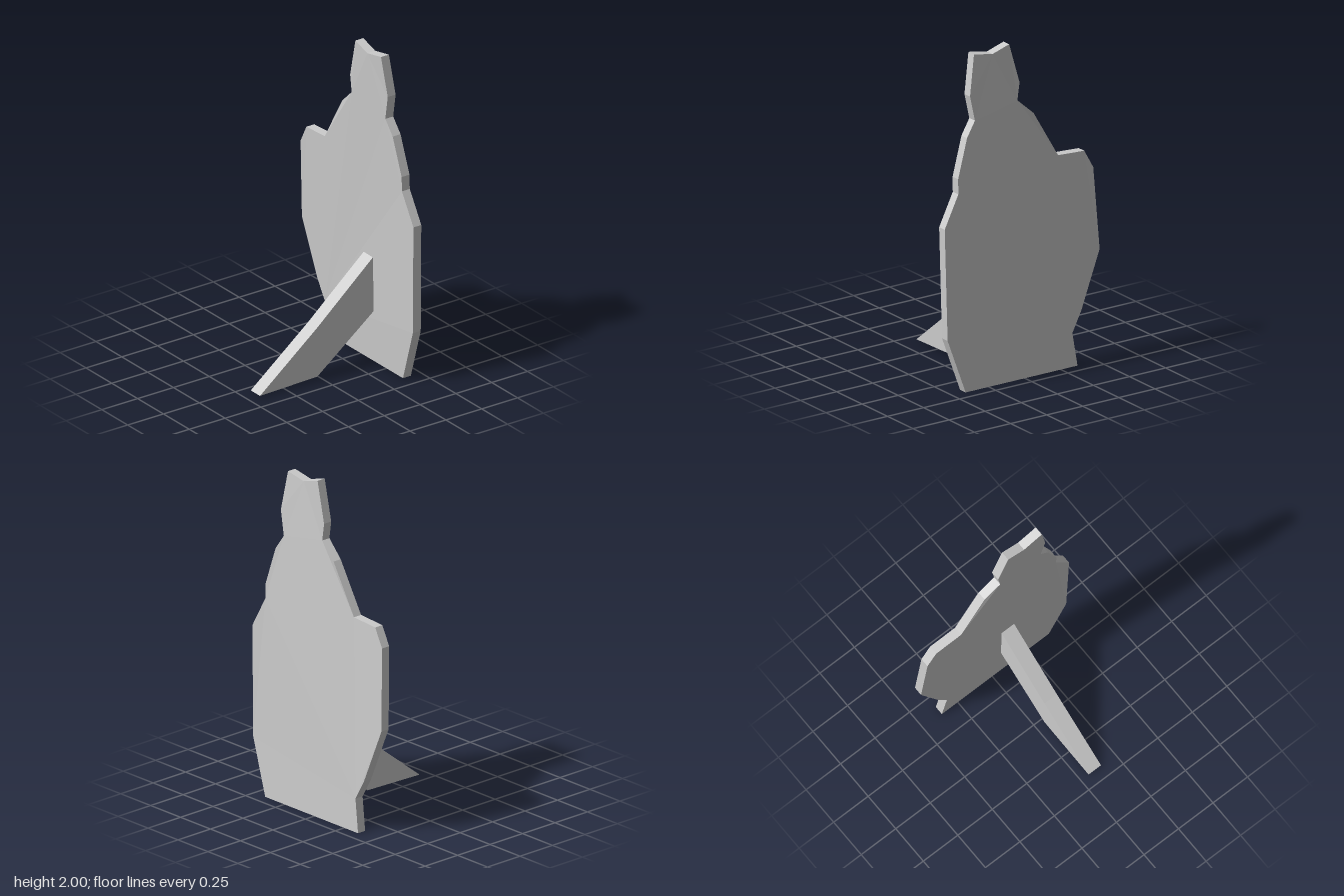
import * as THREE from 'three';

const material = new THREE.MeshStandardMaterial({ color: 0xcccccc, flatShading: true });
const THICKNESS = 0.055;

// Board outline: [z, y, x of the back face]; the board leans back and warps slightly
const OUTLINE = [
  [0.41, 0, 0.376], [0.525, 0.33, 0.362], [0.54, 1, 0.355], [0.44, 1.19, 0.347],
  [0.44, 1.28, 0.345], [0.37, 1.51, 0.333], [0.31, 1.6, 0.325], [0.34, 1.75, 0.32],
  [0.3, 1.99, 0.302], [0.17, 1.965, 0.3], [0.055, 2, 0.3], [-0.01, 1.76, 0.31],
  [0.005, 1.655, 0.31], [-0.1, 1.56, 0.32], [-0.27, 1.27, 0.32], [-0.45, 1.26, 0.322],
  [-0.51, 1.15, 0.325], [-0.535, 0.66, 0.352], [-0.4, 0.32, 0.363], [-0.335, 0.2, 0.368],
  [-0.365, 0, 0.376],
];

function shapeFrom(points) {
  return new THREE.Shape(points.map(([x, y]) => new THREE.Vector2(x, y)));
}

// Silhouette board, extruded along x, each corner shifted to its lean
function createBoard() {
  const geometry = new THREE.ExtrudeGeometry(
    shapeFrom(OUTLINE.map(([z, y]) => [-z, y])),
    { depth: THICKNESS, bevelEnabled: false },
  );
  geometry.rotateY(Math.PI / 2);
  const position = geometry.attributes.position;
  for (let i = 0; i < position.count; i++) {
    const y = position.getY(i), z = position.getZ(i);
    const corner = OUTLINE.find((p) => Math.hypot(p[0] - z, p[1] - y) < 1e-3);
    position.setX(i, position.getX(i) + corner[2]);
  }
  geometry.computeVertexNormals();
  const board = new THREE.Mesh(geometry, material);
  board.name = 'silhouetteBoard';
  return board;
}

// Slanted strut propping the board from behind
function createStrut() {
  const side = shapeFrom([[-0.43, 0.01], [-0.03, 0.02], [0.365, 0.323], [0.358, 0.66], [-0.03, 0.327]]);
  const geometry = new THREE.ExtrudeGeometry(side, { depth: 0.09, bevelEnabled: false });
  geometry.translate(0, 0, 0.054);
  const strut = new THREE.Mesh(geometry, material);
  strut.name = 'supportStrut';
  return strut;
}

export function createModel() {
  const group = new THREE.Group();
  group.name = 'standingCutout';
  group.add(createBoard(), createStrut());
  return group;
}
